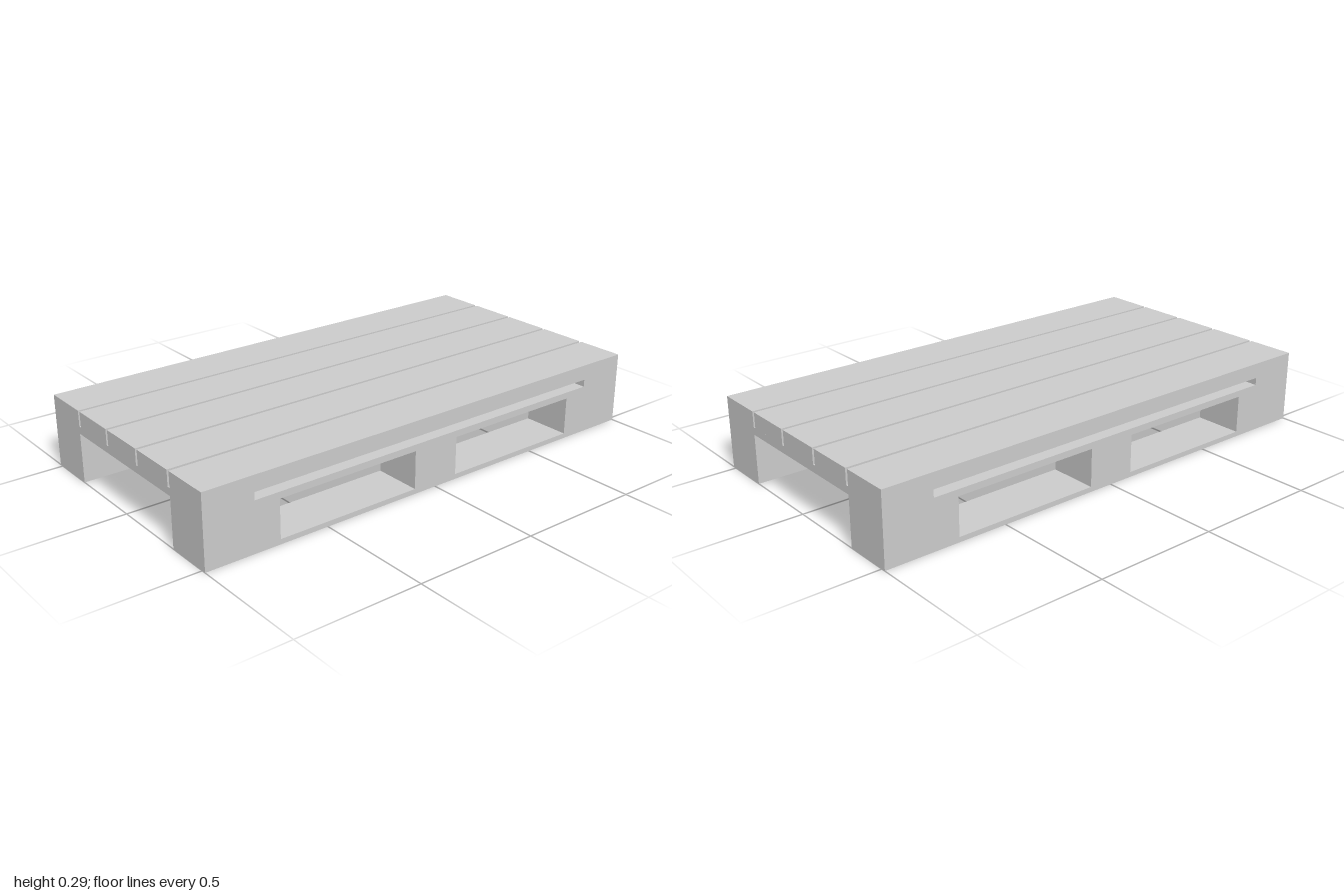
import * as THREE from 'three';

export function createModel() {
  const group = new THREE.Group();
  const material = new THREE.MeshStandardMaterial({ color: 0xcccccc, flatShading: true });

  const add = (geometry, name, x, y, z) => {
    const mesh = new THREE.Mesh(geometry, material);
    mesh.name = name;
    mesh.position.set(x, y, z);
    group.add(mesh);
  };

  const depth = 1.034, slatWidth = 0.197, skidTop = 0.198, deckBottom = 0.228, deckTop = 0.29;

  // Five deck slats with narrow gaps
  const slat = new THREE.BoxGeometry(2, deckTop - deckBottom, slatWidth);
  const pitch = (depth - slatWidth) / 4;
  for (let i = -2; i <= 2; i++) add(slat, `deckSlat${i + 3}`, 0, (deckTop + deckBottom) / 2, i * pitch);

  // Skid outline: raised ends, two fork openings
  const outline = new THREE.Shape([
    [-1, 0], [1, 0], [1, deckBottom], [0.8, deckBottom],
    [0.8, skidTop], [-0.8, skidTop], [-0.8, deckBottom], [-1, deckBottom],
  ].map(([x, y]) => new THREE.Vector2(x, y)));
  for (const s of [-1, 1]) {
    outline.holes.push(new THREE.Path([
      [0.1, 0.02], [0.1, 0.172], [0.7, 0.172], [0.7, 0.02],
    ].map(([x, y]) => new THREE.Vector2(s * x, y))));
  }
  const skid = new THREE.ExtrudeGeometry(outline, { depth: slatWidth, bevelEnabled: false });
  add(skid, 'frontSkid', 0, 0, depth / 2 - slatWidth);
  add(skid, 'backSkid', 0, 0, -depth / 2);

  // Cross boards joining the skids under the deck ends
  const cross = new THREE.BoxGeometry(0.2, deckBottom - skidTop, depth - 2 * slatWidth);
  for (const s of [-1, 1]) add(cross, s > 0 ? 'leftCrossBoard' : 'rightCrossBoard', s * 0.9, (deckBottom + skidTop) / 2, 0);

  return group;
}
